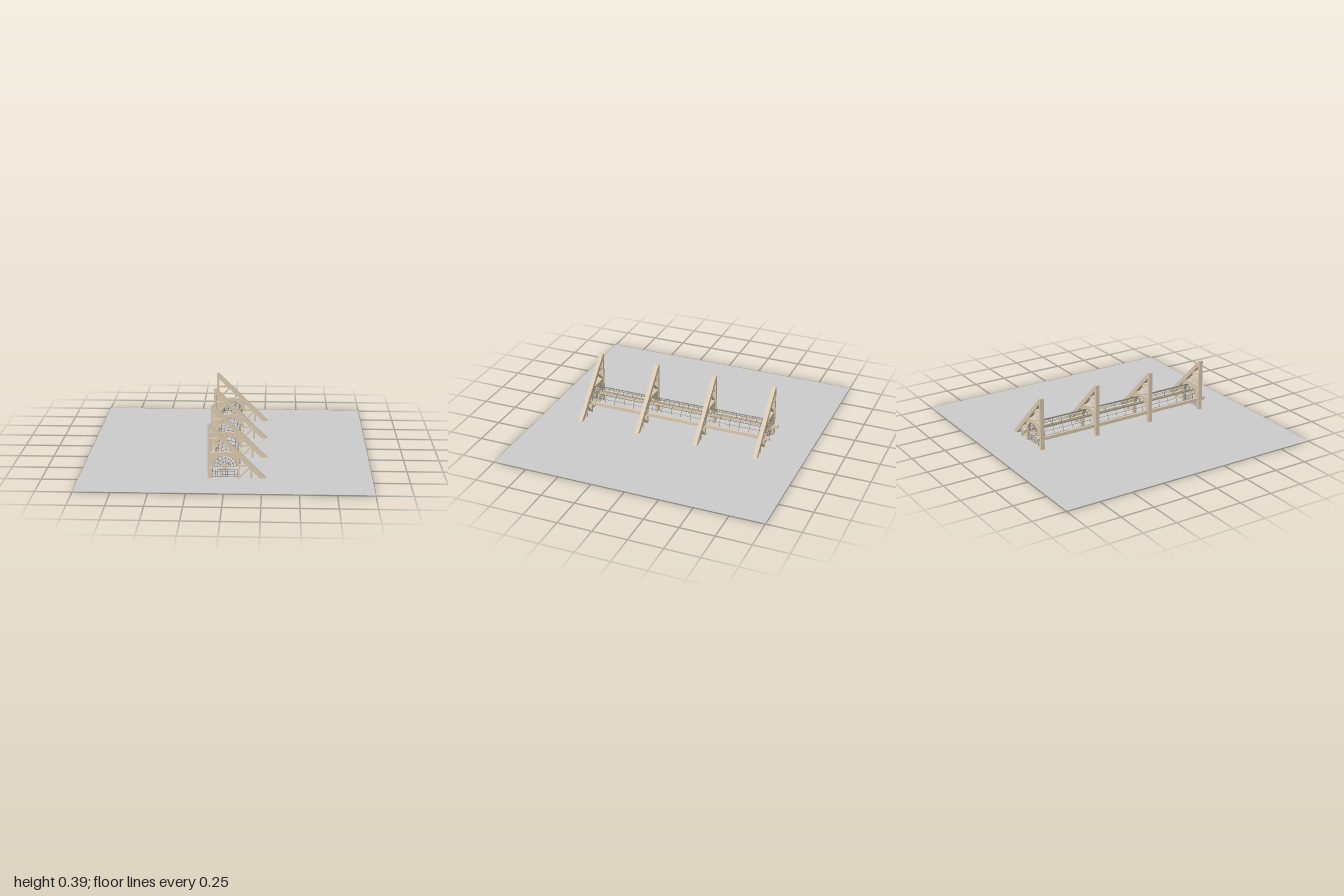
import * as THREE from 'three';

const wood = new THREE.MeshStandardMaterial({ color: 0xd9c8ae, flatShading: true });
const wire = new THREE.MeshStandardMaterial({ color: 0x8c8578 });
const grey = new THREE.MeshStandardMaterial({ color: 0xcccccc, side: THREE.DoubleSide });

const MID_Z = 0.01;          // centre of the tunnel along z
const AXIS_Y = 0.088;        // height of the arch centre
const frameZ = [0.69, 0.237, -0.217, -0.67];

function add(parent, name, geometry, material, x = 0, y = 0, z = 0) {
  const mesh = new THREE.Mesh(geometry, material);
  mesh.name = name;
  mesh.position.set(x, y, z);
  parent.add(mesh);
  return mesh;
}

// Box given by its x and y ranges, centred on z
function block(parent, name, x0, x1, y0, y1, depth, z = 0) {
  return add(parent, name, new THREE.BoxGeometry(x1 - x0, y1 - y0, depth), wood, (x0 + x1) / 2, (y0 + y1) / 2, z);
}

function plate(parent, name, shape, depth) {
  const g = new THREE.ExtrudeGeometry(shape, { depth, bevelEnabled: false, curveSegments: 16 });
  g.translate(0, 0, -depth / 2);
  return add(parent, name, g, wood);
}

// Square timber between two points of the frame plane
function strut(parent, name, ax, ay, bx, by, width, depth) {
  const len = Math.hypot(bx - ax, by - ay);
  const m = add(parent, name, new THREE.BoxGeometry(len, width, depth), wood, (ax + bx) / 2, (ay + by) / 2, 0);
  m.rotation.z = Math.atan2(by - ay, bx - ax);
}

// Thin round bar between two points
function bar(parent, name, a, b, r = 0.0015) {
  const A = new THREE.Vector3(...a), B = new THREE.Vector3(...b);
  const d = B.clone().sub(A);
  const m = add(parent, name, new THREE.CylinderGeometry(r, r, d.length(), 6), wire);
  m.position.copy(A).add(B).multiplyScalar(0.5);
  m.quaternion.setFromUnitVectors(new THREE.Vector3(0, 1, 0), d.normalize());
}

function hoop(parent, name, radius, z, r = 0.0015) {
  add(parent, name, new THREE.TorusGeometry(radius, r, 4, 20, Math.PI), wire, 0, AXIS_Y, z);
}

// Triangular timber frame with an arched opening
function buttress() {
  const g = new THREE.Group();
  g.name = 'buttressFrame';
  block(g, 'rearPost', -0.12, -0.102, 0, 0.385, 0.03);
  plate(g, 'slopingBeam', new THREE.Shape([
    [-0.12, 0.39], [-0.12, 0.364], [0.234, 0.01], [0.278, 0.01], [-0.104, 0.39],
  ].map(p => new THREE.Vector2(...p))), 0.03);

  // Arched panel
  const arch = new THREE.Shape();
  arch.moveTo(-0.105, AXIS_Y);
  arch.lineTo(-0.105, 0.19);
  arch.lineTo(0.075, 0.19);
  arch.lineTo(0.098, 0.167);
  arch.lineTo(0.098, AXIS_Y);
  arch.lineTo(0.078, AXIS_Y);
  arch.absarc(0, AXIS_Y, 0.078, 0, Math.PI, false);
  plate(g, 'archPanel', arch, 0.022);
  block(g, 'keystone', -0.022, 0.022, 0.166, 0.195, 0.028);

  // Legs below the arch
  block(g, 'archLeg', -0.103, -0.086, 0, AXIS_Y, 0.022);
  block(g, 'archLeg', 0.082, 0.098, 0, AXIS_Y, 0.022);

  // Upper bracing
  block(g, 'upperTie', -0.105, -0.012, 0.276, 0.288, 0.02);
  strut(g, 'upperBrace', -0.1, 0.196, -0.012, 0.28, 0.011, 0.02);

  // Outer bracing
  block(g, 'outerTie', 0.095, 0.17, 0.09, 0.101, 0.02);
  block(g, 'outerPost', 0.17, 0.184, 0, 0.09, 0.02);
  strut(g, 'outerBrace', 0.1, 0.015, 0.172, 0.09, 0.011, 0.02);
  return g;
}

// Wire end wall: half wheel above, square grid below
function endGrille(z) {
  const g = new THREE.Group();
  g.name = 'endGrille';
  for (const r of [0.035, 0.055, 0.075]) hoop(g, 'grilleHoop', r, z);
  for (let i = 0; i <= 8; i++) {
    const a = i * Math.PI / 8, c = Math.cos(a), s = Math.sin(a);
    bar(g, 'spoke', [0, AXIS_Y, z], [c * 0.077, AXIS_Y + s * 0.077, z]);
  }
  const hub = add(g, 'hub', new THREE.CylinderGeometry(0.022, 0.022, 0.008, 20), wood, 0, AXIS_Y, z);
  hub.rotation.x = Math.PI / 2;
  for (const y of [0.016, 0.032, 0.048, 0.064]) bar(g, 'gridRow', [-0.09, y, z], [0.088, y, z]);
  for (let i = 0; i <= 10; i++) {
    const x = -0.084 + i * 0.0166;
    bar(g, 'gridColumn', [x, 0.012, z], [x, 0.066, z]);
  }
  return g;
}

export function createModel() {
  const model = new THREE.Group();
  model.name = 'bracedTunnel';

  // Ground sheet
  add(model, 'groundSheet', new THREE.PlaneGeometry(2, 2), grey, 0, 0.005, 0).rotation.x = -Math.PI / 2;

  for (const z of frameZ) {
    const f = buttress();
    f.position.z = z;
    model.add(f);
  }

  // Long side rails
  block(model, 'sideRail', -0.104, -0.086, 0.066, 0.09, 1.46, 0.015);
  block(model, 'sideRail', 0.08, 0.098, 0.066, 0.09, 1.46, 0.015);

  // Wire tunnel
  const cage = new THREE.Group();
  cage.name = 'wireTunnel';
  model.add(cage);
  for (let i = 0; i < 18; i++) hoop(cage, 'tunnelHoop', 0.08, 0.65 - i * 0.0753);
  for (let i = 0; i <= 8; i++) {
    const a = i * Math.PI / 8, x = 0.08 * Math.cos(a), y = AXIS_Y + 0.08 * Math.sin(a);
    const thick = i === 2 || i === 6;
    bar(cage, 'lengthWire', [x, y, MID_Z - 0.67], [x, y, MID_Z + 0.67], thick ? 0.003 : 0.0015);
  }

  for (const z of [frameZ[0], frameZ[3]]) model.add(endGrille(z));
  return model;
}
